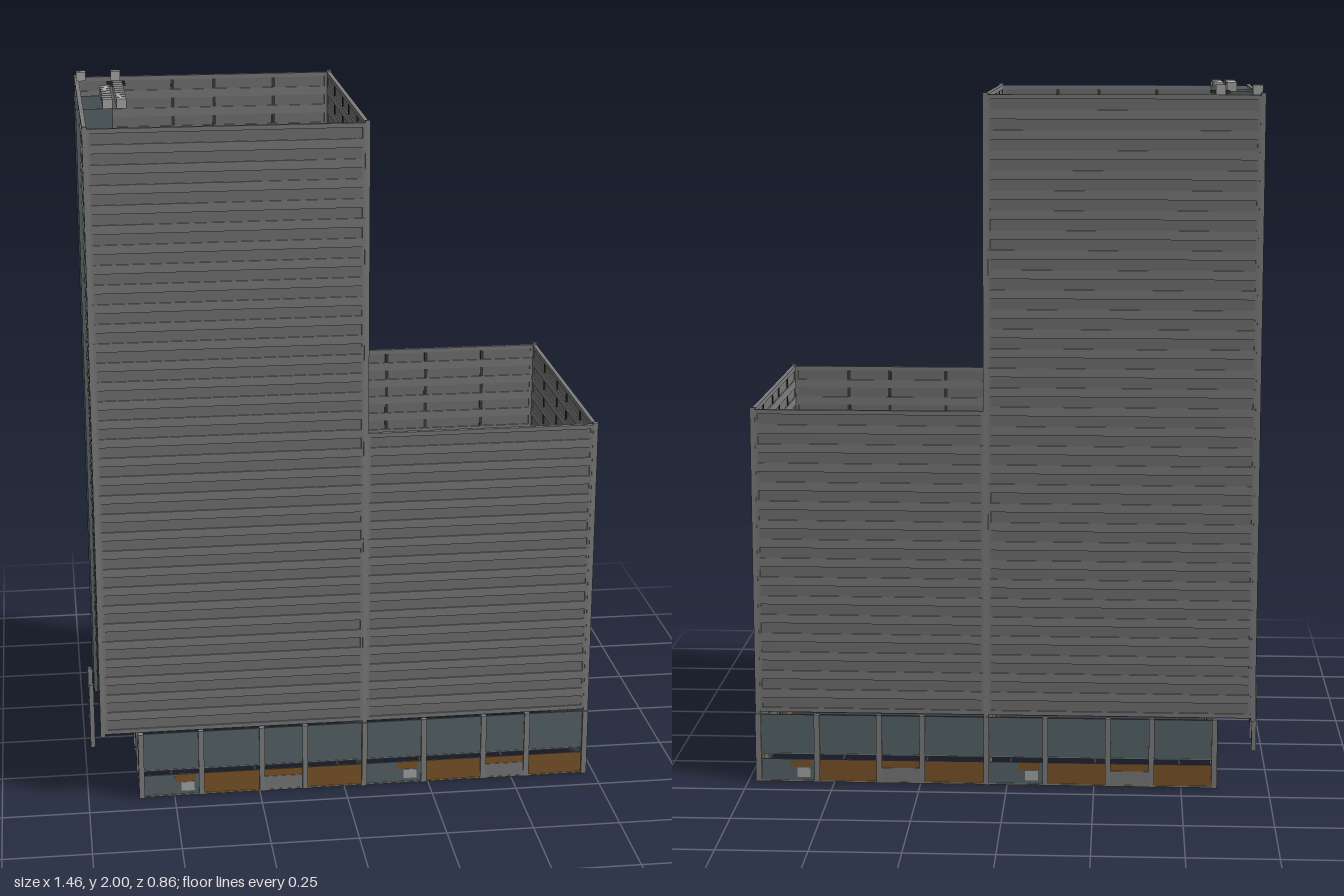
import * as THREE from 'three';

const mat = (name, color) => Object.assign(new THREE.MeshStandardMaterial({ color }), { name });

export function createModel() {
  const root = new THREE.Group();
  root.name = 'officeTower';
  const concrete = mat('concrete grey', 0x808080);
  const windowGrey = mat('window grey', 0x787878);
  const post = mat('post grey', 0x868686);
  const glass = mat('teal glass', 0x5c6b6e);
  const wood = mat('brown wood', 0x83592c);
  const pale = mat('pale grey', 0xb0b0b0);
  const dark = mat('dark vent', 0x3a403c);

  const group = (name, parent = root) => {
    const g = new THREE.Group();
    g.name = name;
    parent.add(g);
    return g;
  };

  // Box given by its limits on each axis
  const box = (parent, name, m, x0, x1, y0, y1, z0, z1) => {
    const mesh = new THREE.Mesh(new THREE.BoxGeometry(x1 - x0, y1 - y0, z1 - z0), m);
    mesh.position.set((x0 + x1) / 2, (y0 + y1) / 2, (z0 + z1) / 2);
    mesh.name = name;
    parent.add(mesh);
  };

  // Upright slab along 'x' or 'z', from a to b, centred at p on the other axis
  const slab = (parent, name, m, axis, a, b, y0, y1, p, t) => {
    const [lo, hi] = a < b ? [a, b] : [b, a];
    if (axis === 'x') box(parent, name, m, lo, hi, y0, y1, p - t / 2, p + t / 2);
    else box(parent, name, m, p - t / 2, p + t / 2, y0, y1, lo, hi);
  };

  const BOTTOM = 0.208, FLOOR = 0.0552;

  // Wall of stacked floors: thick spandrels with recessed ribbon windows
  const wall = (name, axis, a, b, p, from, to, inward, mullions) => {
    const g = group(name);
    const yTop = BOTTOM + to * FLOOR;
    slab(g, 'ribbonWindow', windowGrey, axis, a, b, BOTTOM + from * FLOOR, yTop, p, 0.004);
    for (let i = from; i <= to; i++) {
      const y = BOTTOM + i * FLOOR;
      const y0 = i === from ? y : y - 0.0125;
      const y1 = i === to ? y : y + 0.0125;
      slab(g, 'spandrel', concrete, axis, a, b, y0, y1, p, 0.012);
    }
    for (const s of [a, b]) {
      const e = s + Math.sign((a + b) / 2 - s) * 0.014;
      slab(g, 'wallEnd', concrete, axis, s, e, BOTTOM + from * FLOOR, yTop, p, 0.011);
    }
    for (const c of mullions) {
      slab(g, 'mullion', dark, axis, c - 0.005, c + 0.005, BOTTOM + from * FLOOR, yTop - 0.004, p + inward * 0.002, 0.006);
    }
  };

  const X0 = -0.703, XM = 0.06, X1 = 0.72, XB = -0.595, Z = 0.417;
  const frontCols = [XB, -0.42, -0.242, -0.115, XM, 0.237, 0.415, 0.545, X1];
  const backCols = [XB, -0.415, -0.29, -0.11, XM, 0.245, 0.37, 0.55, X1];
  const sideCols = [0.42, 0.243, 0.065, -0.063, -0.243, -0.42];

  // Upper walls: tall block and half-height block, both open at the top
  for (const s of [1, -1]) {
    const cols = s > 0 ? frontCols : backCols;
    const side = s > 0 ? 'front' : 'back';
    wall(side + 'TowerWall', 'x', X0, XM, s * Z, 0, 32, -s, cols.slice(1, 4));
    wall(side + 'LowWall', 'x', XM, X1, s * Z, 0, 16, -s, cols.slice(5, 8));
  }
  const inner = sideCols.slice(1, 5);
  wall('rightTowerWall', 'z', -Z, Z, X0, 0, 32, 1, inner);
  wall('leftTowerWall', 'z', -Z, Z, XM, 0, 32, -1, inner);
  wall('leftLowWall', 'z', -Z, Z, X1, 0, 16, -1, inner);

  // Corner posts
  const corners = group('cornerPosts');
  for (const [x, y0, y1] of [[X0, 0.2, 1.98], [XM, 0, 1.98], [X1, 0, 1.097]]) {
    for (const z of [-Z, Z]) {
      box(corners, 'cornerPost', post, x - 0.007, x + 0.007, y0, y1, z - 0.007, z + 0.007);
    }
  }

  // Ground storey: glazed upper band, open slot, mixed panels below
  const storey = (name, axis, cols, p, kinds) => {
    const g = group(name);
    cols.forEach((c) => slab(g, 'column', post, axis, c - 0.008, c + 0.008, 0, 0.202, p, 0.015));
    kinds.forEach((kind, i) => {
      const a = cols[i], b = cols[i + 1], at = (t) => a + (b - a) * t;
      slab(g, 'upperGlass', glass, axis, a, b, 0.083, 0.2, p, 0.005);
      slab(g, 'transom', post, axis, a, b, 0.081, 0.084, p, 0.008);
      if (kind === 'wood') slab(g, 'woodPanel', wood, axis, a, b, 0.004, 0.067, p, 0.005);
      if (kind === 'glass') {
        slab(g, 'shopGlass', glass, axis, a, b, 0.004, 0.067, p, 0.005);
        slab(g, 'shopWood', wood, axis, at(0.55), at(0.9), 0.045, 0.067, p, 0.007);
        slab(g, 'shopSign', pale, axis, at(0.66), at(0.88), 0.014, 0.042, p, 0.008);
      }
      if (kind === 'entry') {
        slab(g, 'entryWood', wood, axis, a, b, 0.04, 0.067, p, 0.005);
        slab(g, 'entryPanel', concrete, axis, a, b, 0.004, 0.045, p, 0.008);
      }
      slab(g, 'sill', post, axis, a, b, 0, 0.004, p, 0.01);
    });
  };
  const half = ['glass', 'wood', 'entry', 'wood'];
  const long = [...half, ...half];
  const short = ['glass', 'wood', 'entry', 'wood', 'glass'];
  storey('frontStorey', 'x', frontCols, 0.417, long);
  storey('backStorey', 'x', [...backCols].reverse(), -0.42, long);
  storey('leftStorey', 'z', sideCols, 0.719, short);
  storey('middleStorey', 'z', sideCols, XM, short);
  storey('rightStorey', 'z', [...sideCols].reverse(), XB, short);

  // Lift shaft on the right side, with two props beneath
  const shaft = group('liftShaft');
  slab(shaft, 'shaftOuterPanel', glass, 'z', -0.1, 0.11, 0.205, 1.972, -0.716, 0.004);
  for (const z of [-0.1, 0.11]) {
    slab(shaft, 'shaftSidePanel', glass, 'x', -0.718, -0.615, 0.205, 1.972, z, 0.004);
  }
  for (const z of [-0.068, 0.06]) {
    box(shaft, 'shaftProp', post, -0.733, -0.719, 0, 0.205, z - 0.007, z + 0.007);
  }

  // Rooftop machinery
  const roof = group('roofUnits');
  const unit = (x, z) => box(roof, 'roofUnit', pale, x - 0.014, x + 0.014, 1.973, 2, z - 0.013, z + 0.013);
  for (const z of [-0.097, -0.064, -0.031, 0.003, 0.039, 0.072, 0.105]) {
    unit(-0.629, z);
    unit(-0.59, z);
  }
  for (const [x, z] of [[-0.59, -0.163], [-0.59, -0.13], [-0.69, -0.36], [-0.588, -0.36]]) unit(x, z);
  for (const z of [-0.288, -0.251]) {
    box(roof, 'roofVent', dark, -0.617, -0.563, 1.974, 1.981, z - 0.009, z + 0.009);
  }

  return root;
}
